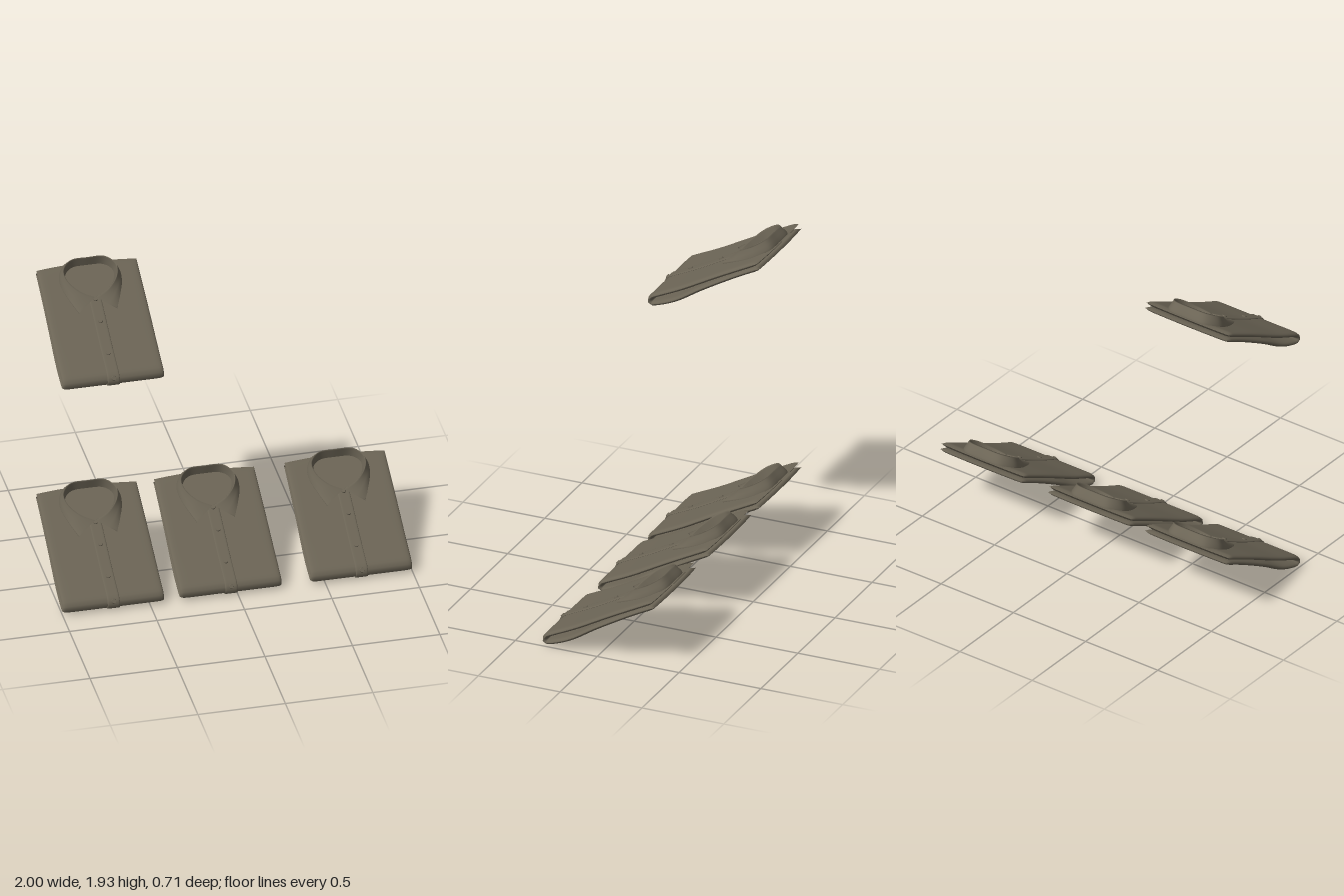
import * as THREE from 'three';
import { ParametricGeometry } from 'three/addons/geometries/ParametricGeometry.js';

const cloth = new THREE.MeshStandardMaterial({ color: 0x6b6455, side: THREE.DoubleSide });
cloth.name = 'olive grey cloth';

// Side path of the folded cloth (z, y): top layer, front fold, bottom layer
const fold = new THREE.SplineCurve([
  [-0.468, 0.194], [-0.2, 0.193], [0.05, 0.187], [0.2, 0.191], [0.258, 0.191], [0.283, 0.171],
  [0.258, 0.149], [0.12, 0.135], [-0.07, 0.152], [-0.3, 0.163], [-0.468, 0.163],
].map(([z, y]) => new THREE.Vector2(z, y)));
fold.arcLengthDivisions = 400;

// Point on the fold path, pushed outward by d
function onFold(s, d) {
  const p = fold.getPointAt(s), t = fold.getTangentAt(s);
  return { z: p.x - t.y * d, y: p.y + t.x * d, angle: Math.atan2(-t.y, t.x) };
}

function mesh(name, geometry) {
  const m = new THREE.Mesh(geometry, cloth);
  m.name = name;
  return m;
}

function surface(fn, slices, stacks) {
  const g = new ParametricGeometry(fn, slices, stacks);
  g.computeVertexNormals();
  return g;
}

// Padded sheet following the fold path, with rounded ends and sides
function sheet(width, half, offset, s0, s1, slices, stacks, power) {
  return surface((u, v, out) => {
    const outer = u <= 0.5;
    const s = outer ? u * 2 : 2 - u * 2;
    const k = Math.sin((v - 0.5) * Math.PI);
    const endRound = Math.sqrt(Math.min(1, Math.max(0, Math.min(s, 1 - s)) / 0.02));
    const sideRound = Math.sqrt(Math.max(0, 1 - Math.abs(k) ** power));
    const h = half * endRound * sideRound;
    const p = onFold(THREE.MathUtils.lerp(s0, s1, s), offset + (outer ? h : -h));
    // back edge bows outward slightly and the sides taper toward it
    const back = THREE.MathUtils.clamp(-p.z / 0.468, 0, 1);
    out.set(k * width * (1 - 0.015 * back), p.y, p.z - 0.016 * back ** 4 * (1 - k * k));
  }, slices, stacks);
}

// Mirrored curve from half a collar line, given from back centre to front
function collarLine(half) {
  const pts = half.map((p) => new THREE.Vector3(...p));
  const left = pts.slice(1).reverse().map((p) => new THREE.Vector3(-p.x, p.y, p.z));
  return new THREE.CatmullRomCurve3([...left, ...pts], false, 'centripetal');
}

// Standing band that folds over into the pointed collar
function collarGeometry() {
  const neck = collarLine([[0, 0.2, -0.458], [0.09, 0.2, -0.45], [0.134, 0.2, -0.405],
    [0.122, 0.2, -0.335], [0.07, 0.203, -0.28], [0.004, 0.205, -0.25]]);
  const top = collarLine([[0, 0.265, -0.475], [0.1, 0.265, -0.468], [0.15, 0.264, -0.41],
    [0.14, 0.26, -0.34], [0.08, 0.244, -0.272], [0.004, 0.229, -0.235]]);
  const edge = collarLine([[0, 0.216, -0.488], [0.115, 0.216, -0.482], [0.17, 0.214, -0.412],
    [0.173, 0.214, -0.335], [0.142, 0.216, -0.235], [0.108, 0.216, -0.152]]);
  const rows = 6;
  return surface((u, v, out) => {
    const a = neck.getPoint(u), b = top.getPoint(u), c = edge.getPoint(u);
    const row = Math.round(v * rows);
    if (row === 0) out.copy(a);
    else if (row === 1) out.lerpVectors(a, b, 0.85);
    else if (row === 2) out.copy(b);
    else if (row === 3) out.lerpVectors(b, c, 0.12);
    else if (row === 4) out.lerpVectors(b, c, 0.6);
    else out.copy(c);
    if (row === 6) out.y -= 0.012; // turned-down hem
  }, 80, rows);
}

export function createModel() {
  const model = new THREE.Group();
  model.name = 'foldedShirts';

  const bodyGeo = sheet(0.29, 0.014, 0, 0, 1, 140, 28, 24);
  const placketGeo = sheet(0.035, 0.005, 0.015, 0.145, 0.59, 100, 12, 12);
  const collarGeo = collarGeometry();
  const buttonGeo = new THREE.CylinderGeometry(0.012, 0.014, 0.008, 16);

  function shirt(x, y) {
    const g = new THREE.Group();
    g.name = 'foldedShirt';
    g.add(mesh('body', bodyGeo), mesh('placket', placketGeo), mesh('collar', collarGeo));
    for (const s of [0.155, 0.248, 0.386, 0.485]) {
      const b = mesh('button', buttonGeo);
      const p = onFold(s, 0.022);
      b.position.set(0, p.y, p.z);
      b.rotation.x = p.angle;
      g.add(b);
    }
    // lean the shirt back as on a sloping shelf
    g.rotation.x = THREE.MathUtils.degToRad(27);
    g.position.set(x, y, 0);
    model.add(g);
  }

  // three shirts in the lower row, one above
  for (const x of [-0.71, -0.038, 0.708]) shirt(x, 0);
  shirt(-0.71, 1.472);
  return model;
}
